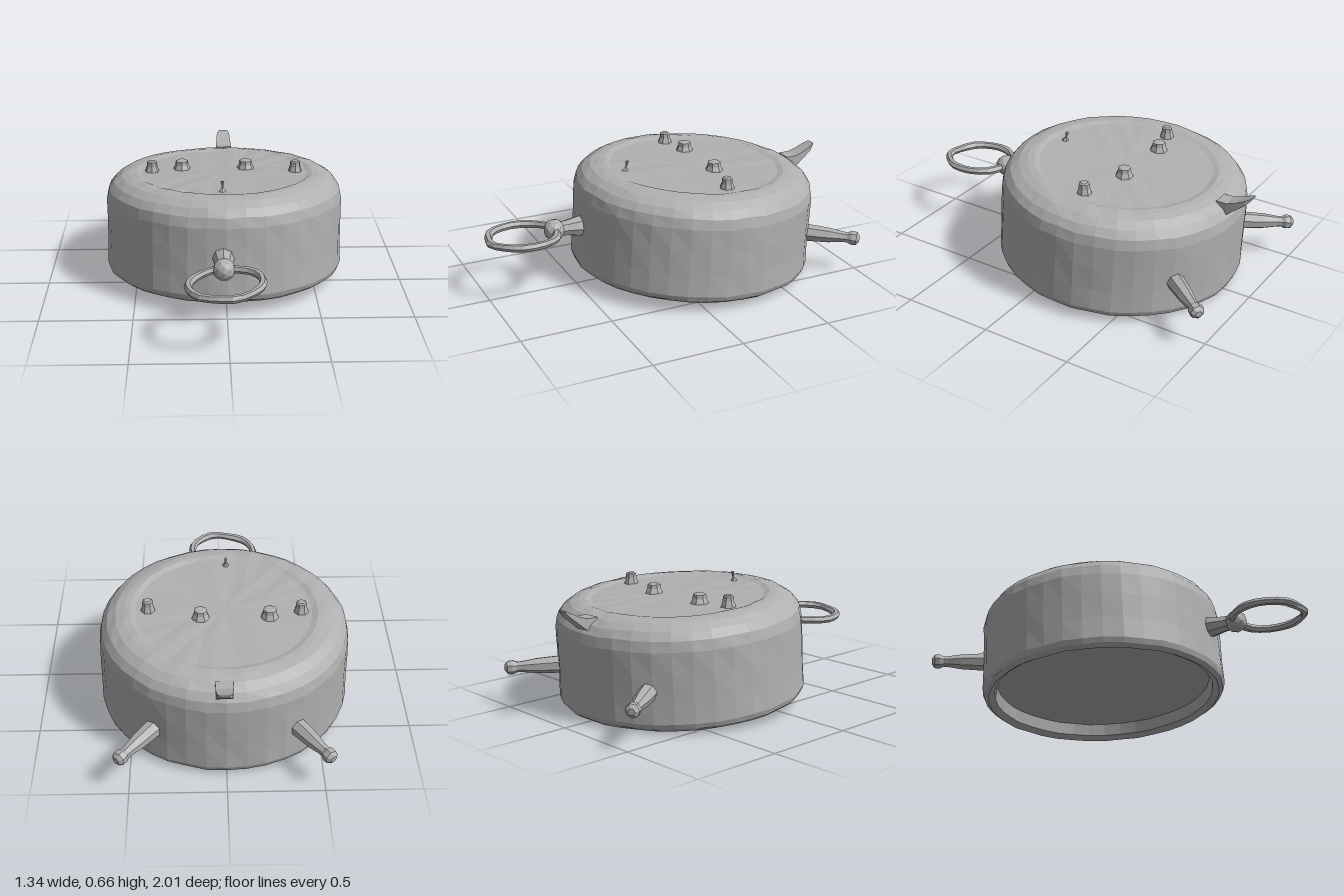
import * as THREE from 'three';

const grey = new THREE.MeshStandardMaterial({ color: 0xb0b0b0 });
const V = (x, y, z) => new THREE.Vector3(x, y, z);

// Faceted mesh from any geometry
function faceted(name, geometry) {
  const flat = geometry.index ? geometry.toNonIndexed() : geometry;
  flat.computeVertexNormals();
  const mesh = new THREE.Mesh(flat, grey);
  mesh.name = name;
  return mesh;
}

// Turned part running from a to b; profile holds [radius, fraction of length]
function turned(name, a, b, profile, sides = 7) {
  const axis = b.clone().sub(a);
  const pts = profile.map(([r, t]) => new THREE.Vector2(r, t * axis.length()));
  const mesh = faceted(name, new THREE.LatheGeometry(pts, sides));
  mesh.position.copy(a);
  mesh.quaternion.setFromUnitVectors(V(0, 1, 0), axis.normalize());
  return mesh;
}

// Slight hand-made unevenness that depends only on position
function wobble(geometry, amount) {
  const p = geometry.attributes.position;
  for (let i = 0; i < p.count; i++) {
    const x = p.getX(i), y = p.getY(i), z = p.getZ(i);
    const k = 1 + amount * Math.sin(x * 23 + y * 17) * Math.cos(z * 19 - y * 13);
    p.setXYZ(i, x * k, y + amount * 0.6 * Math.sin(x * 31 + z * 27), z * k);
  }
  return geometry;
}

export function createModel() {
  const model = new THREE.Group();
  model.name = 'roundDrum';

  // Tilted drum: deep recessed base, sloping rim, straight wall, rounded shoulder, sunken top
  const profile = [
    [0, 0.088], [0.3, 0.088], [0.592, 0.088], [0.606, 0.022], [0.64, 0], [0.664, 0.018], [0.674, 0.045],
    [0.671, 0.16], [0.67, 0.3], [0.669, 0.42], [0.657, 0.475], [0.627, 0.515],
    [0.58, 0.545], [0.535, 0.556], [0.5, 0.559], [0.47, 0.55], [0.25, 0.552], [0, 0.552],
  ].map(([r, y]) => new THREE.Vector2(r, y));
  const body = faceted('body', wobble(new THREE.LatheGeometry(profile, 40), 0.004));
  body.position.set(0, 0.037, -0.193);
  body.rotation.x = -0.055;
  model.add(body);

  // Studs on the top
  for (const [x, z, r, top] of [
    [-0.41, -0.24, 0.034, 0.646], [-0.24, -0.285, 0.042, 0.637],
    [0.125, -0.285, 0.042, 0.637], [0.405, -0.215, 0.034, 0.65],
  ]) {
    model.add(turned('topStud', V(x, 0.57, z), V(x, top, z),
      [[0, 0], [r * 1.3, 0], [r * 1.1, 0.35], [r * 0.9, 0.6], [r * 0.85, 0.92], [r * 0.6, 1], [0, 1]]));
  }

  // Tiny pin near the front of the top
  model.add(turned('topPin', V(-0.018, 0.595, 0.19), V(-0.018, 0.662, 0.175),
    [[0, 0], [0.022, 0.15], [0.006, 0.5], [0.005, 0.7], [0.011, 1], [0, 1]], 5));

  // Back legs with knobbed ends
  for (const [a, b] of [
    [V(0.35, 0.22, -0.715), V(0.555, 0.205, -0.985)],
    [V(-0.35, 0.22, -0.725), V(-0.53, 0.205, -0.995)],
  ]) {
    model.add(turned('backLeg', a, b,
      [[0, 0], [0.05, 0.05], [0.046, 0.3], [0.042, 0.5], [0.031, 0.72], [0.029, 0.8],
        [0.04, 0.87], [0.038, 0.95], [0.018, 1], [0, 1]]));
  }

  // Tail: thick wedge at the shoulder thinning to a flat tip
  const tailGeometry = new THREE.BoxGeometry(1, 1, 1, 1, 1, 4);
  const sections = [ // z, upper y, lower y, half width
    [-0.80, 0.555, 0.47, 0.045], [-0.86, 0.555, 0.49, 0.045], [-0.91, 0.572, 0.53, 0.042],
    [-0.96, 0.596, 0.57, 0.038], [-0.985, 0.61, 0.598, 0.024],
  ];
  const tp = tailGeometry.attributes.position;
  for (let i = 0; i < tp.count; i++) {
    const [z, hi, lo, w] = sections[Math.round((0.5 - tp.getZ(i)) * 4)];
    tp.setXYZ(i, 0.012 + Math.sign(tp.getX(i)) * w, tp.getY(i) > 0 ? hi : lo, z);
  }
  model.add(faceted('tail', tailGeometry));

  // Front neck ending in a ball
  model.add(turned('frontNeck', V(-0.02, 0.33, 0.44), V(-0.02, 0.333, 0.59),
    [[0, 0], [0.06, 0], [0.055, 0.3], [0.043, 0.7], [0.042, 1], [0, 1]], 8));
  const ball = faceted('neckBall', new THREE.IcosahedronGeometry(0.06, 1));
  ball.position.set(-0.02, 0.333, 0.61);
  model.add(ball);

  // Flat-lying front ring
  const ring = faceted('frontRing', wobble(new THREE.TorusGeometry(0.188, 0.021, 6, 22), 0.012));
  ring.rotation.x = Math.PI / 2;
  const ringHolder = new THREE.Group();
  ringHolder.name = 'ringHolder';
  ringHolder.add(ring);
  ringHolder.position.set(-0.015, 0.333, 0.792);
  ringHolder.rotation.z = 0.06;
  model.add(ringHolder);

  return model;
}
